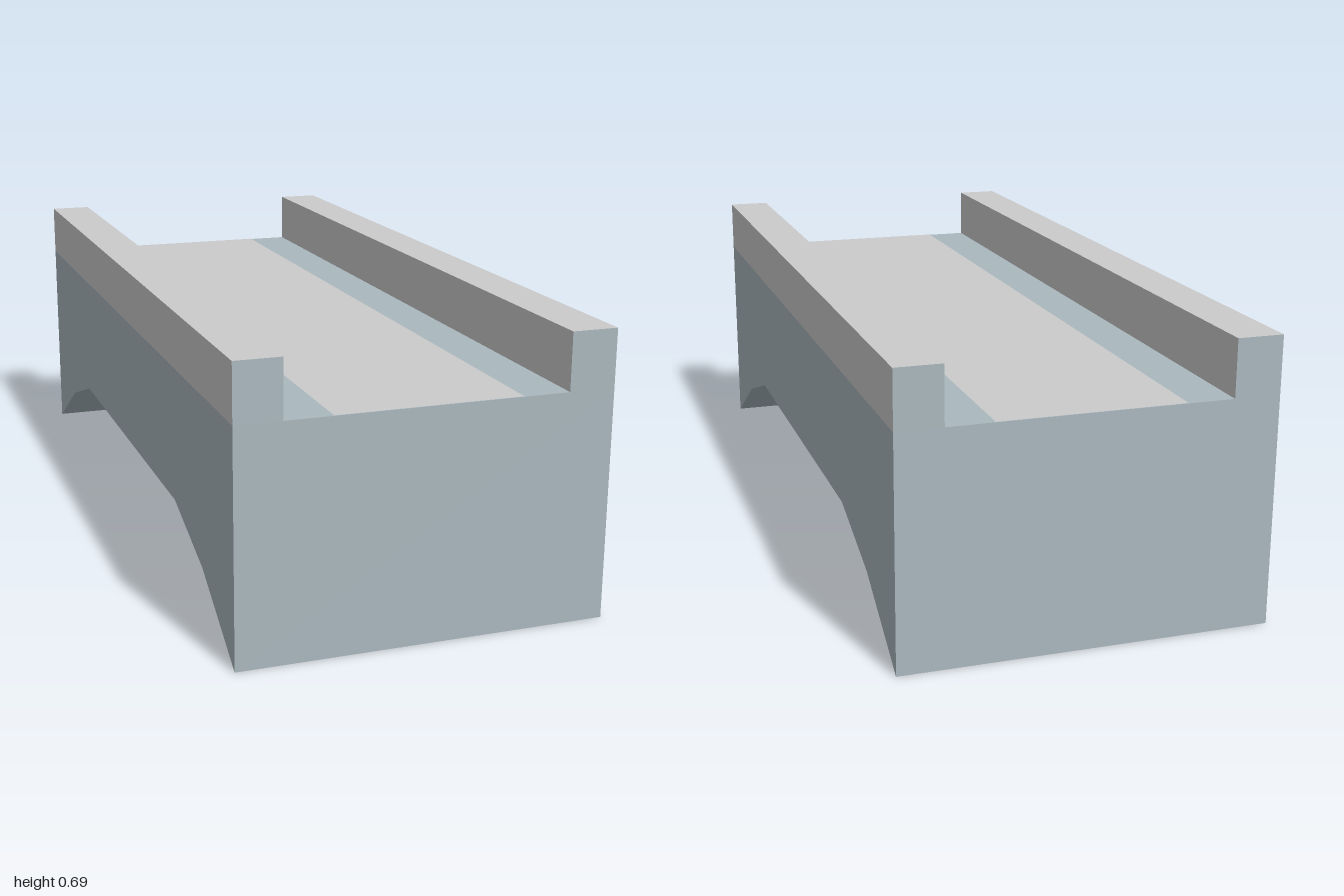
import * as THREE from 'three';

const WIDTH = 0.89, DECK = 0.556, TOP = 0.694, RAIL = 0.111, LENGTH = 2;

export function createModel() {
  const bridge = new THREE.Group();
  bridge.name = 'bridge';
  const stone = new THREE.MeshStandardMaterial({ color: 0xaab8be, flatShading: true });
  const grey = new THREE.MeshStandardMaterial({ color: 0xcccccc, flatShading: true });

  const add = (name, geometry, material, x, y) => {
    const mesh = new THREE.Mesh(geometry, material);
    mesh.name = name;
    mesh.position.set(x, y, 0);
    bridge.add(mesh);
  };

  // Arched body: side profile extruded across the width
  const arch = [[1, 0], [0.75, 0.143], [0.51, 0.223]];
  const profile = new THREE.Shape([
    ...arch.map(([z, y]) => new THREE.Vector2(-z, y)),
    ...arch.reverse().map(([z, y]) => new THREE.Vector2(z, y)),
    new THREE.Vector2(1, DECK),
    new THREE.Vector2(-1, DECK),
  ]);
  const body = new THREE.ExtrudeGeometry(profile, { depth: WIDTH, bevelEnabled: false });
  body.translate(0, 0, -WIDTH / 2).rotateY(Math.PI / 2);
  add('archedBody', body, stone, 0, 0);

  // Roadway surface between the two side strips
  const road = new THREE.PlaneGeometry(0.444, LENGTH).rotateX(-Math.PI / 2);
  add('roadway', road, grey, 0, DECK + 0.001);

  // Parapets: grey along the length, stone on the end faces
  const height = TOP - DECK;
  for (const [name, side] of [['leftParapet', 1], ['rightParapet', -1]]) {
    add(name, new THREE.BoxGeometry(RAIL, height, LENGTH),
      [grey, grey, grey, grey, stone, stone],
      side * (WIDTH - RAIL) / 2, DECK + height / 2);
  }
  return bridge;
}
